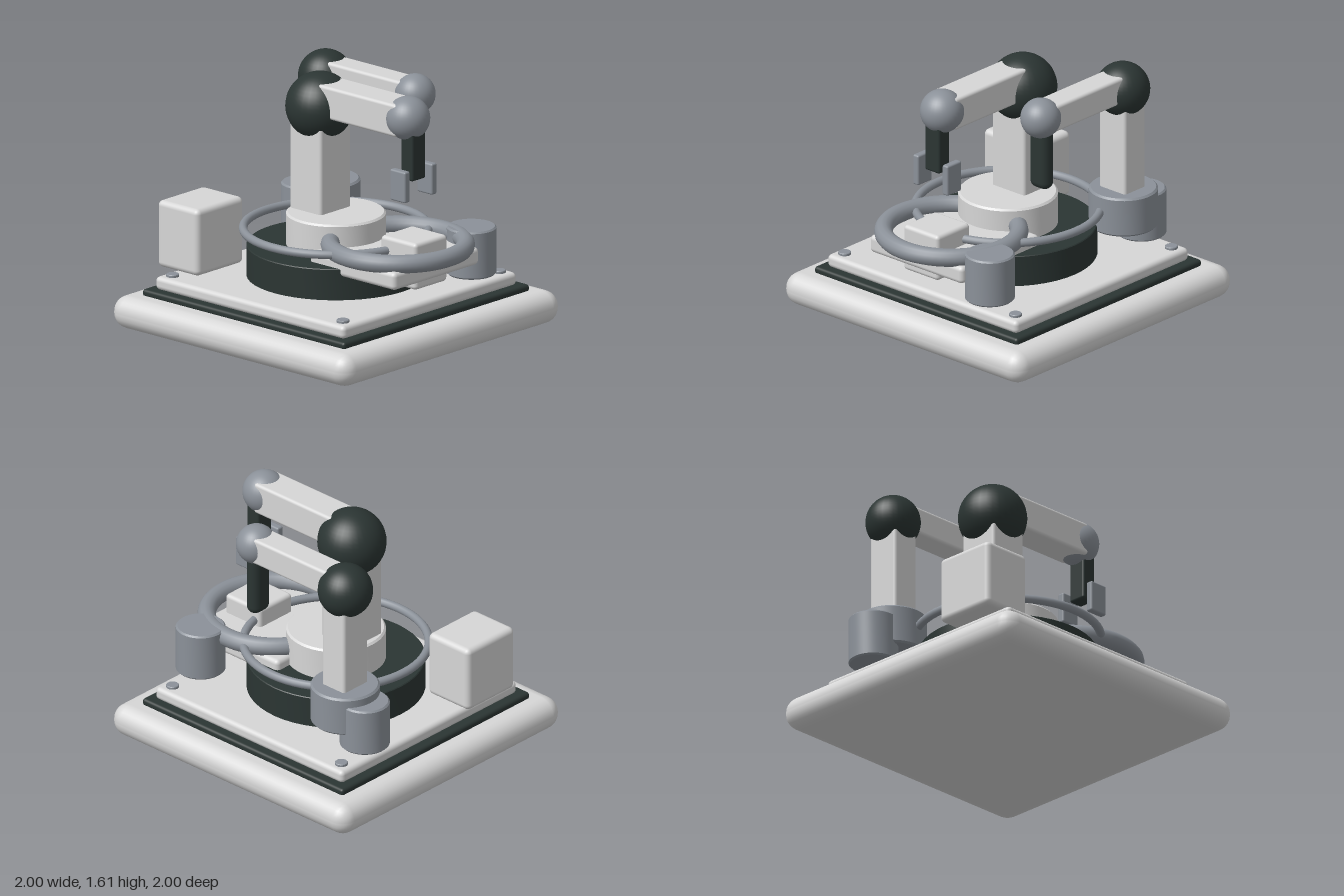
import * as THREE from 'three';
import { RoundedBoxGeometry } from 'three/addons/geometries/RoundedBoxGeometry.js';
import { toCreasedNormals } from 'three/addons/utils/BufferGeometryUtils.js';

export function createModel() {
  const model = new THREE.Group();
  model.name = 'robotArmStation';

  const material = (name, color) => {
    const m = new THREE.MeshStandardMaterial({ color });
    m.name = name;
    return m;
  };
  const light = material('lightShell', 0xd6d6d6);
  const dark = material('darkRubber', 0x2b3533);
  const steel = material('steelGrey', 0x8b9199);

  const add = (name, geometry, mat, x, y, z) => {
    const mesh = new THREE.Mesh(geometry, mat);
    mesh.name = name;
    mesh.position.set(x, y, z);
    model.add(mesh);
    return mesh;
  };

  // Rounded box given by its extents on each axis
  const box = (name, mat, [x0, x1], [y0, y1], [z0, z1], radius = 0.02) =>
    add(name, new RoundedBoxGeometry(x1 - x0, y1 - y0, z1 - z0, 3, radius), mat,
      (x0 + x1) / 2, (y0 + y1) / 2, (z0 + z1) / 2);

  // Upright cylinder with slightly bevelled rims
  const drum = (name, mat, r, y0, y1, x, z, bevel = 0.01) => {
    const h = y1 - y0;
    const profile = [[0, 0], [r - bevel, 0], [r, bevel], [r, h - bevel], [r - bevel, h], [0, h]]
      .map(([px, py]) => new THREE.Vector2(px, py));
    return add(name, toCreasedNormals(new THREE.LatheGeometry(profile, 48), 0.5), mat, x, y0, z);
  };

  const ball = (name, mat, r, x, y, z) =>
    add(name, new THREE.SphereGeometry(r, 32, 24), mat, x, y, z);

  const ring = (name, radius, tube, x, y, z) => {
    add(name, new THREE.TorusGeometry(radius, tube, 14, 64), steel, x, y, z).rotation.x = Math.PI / 2;
  };

  // Stepped base
  box('base', light, [-1, 1], [0, 0.21], [-1, 1], 0.1);
  box('gasket', dark, [-0.85, 0.85], [0.2, 0.25], [-0.85, 0.85], 0.02);
  box('deck', light, [-0.795, 0.795], [0.245, 0.33], [-0.795, 0.795], 0.03);
  for (const x of [-0.715, 0.715])
    for (const z of [-0.715, 0.715]) drum('bolt', steel, 0.04, 0.32, 0.347, x, z, 0.004);

  // Turntable, pedestal and guide rings
  drum('turntable', dark, 0.555, 0.32, 0.53, 0, 0, 0.005);
  drum('pedestal', light, 0.31, 0.52, 0.74, 0, 0, 0.012);
  ring('turntableRing', 0.575, 0.027, 0, 0.63, 0);
  ring('workRing', 0.42, 0.058, 0.52, 0.63, 0);

  // Work table with its block
  box('workTable', light, [0.13, 0.85], [0.48, 0.595], [-0.39, 0.39], 0.03);
  box('workBlock', light, [0.505, 0.805], [0.42, 0.72], [-0.147, 0.147], 0.025);

  // Main arm
  box('mainColumn', light, [-0.265, 0], [0.7, 1.4], [-0.138, 0.138], 0.02);
  ball('mainShoulder', dark, 0.215, -0.135, 1.395, 0);
  box('mainUpperArm', light, [-0.1, 0.6], [1.358, 1.568], [-0.108, 0.108], 0.02);
  ball('mainElbow', steel, 0.138, 0.605, 1.466, 0);
  box('mainForearm', dark, [0.6, 0.7], [1.083, 1.46], [-0.062, 0.062], 0.015);
  for (const s of [-1, 1]) {
    const z = s * 0.123;
    box('gripperPad', steel, [0.585, 0.715], [0.965, 1.165], [z - 0.024, z + 0.024], 0.012);
  }

  // Rear arm
  drum('rearPedestal', steel, 0.215, 0.485, 0.74, -0.53, -0.483, 0.012);
  box('rearColumn', light, [-0.62, -0.43], [0.7, 1.4], [-0.588, -0.368], 0.02);
  ball('rearShoulder', dark, 0.172, -0.527, 1.395, -0.478);
  box('rearUpperArm', light, [-0.5, 0.21], [1.345, 1.52], [-0.566, -0.392], 0.02);
  ball('rearElbow', steel, 0.127, 0.225, 1.436, -0.479);
  box('rearForearm', dark, [0.163, 0.265], [0.965, 1.43], [-0.553, -0.403], 0.048);

  // Canisters at the back and control box at the front
  for (const s of [-1, 1]) drum('canister', steel, 0.155, 0.373, 0.68, s * 0.695, -0.482, 0.01);
  box('controlBox', light, [-0.872, -0.525], [0.355, 0.785], [0.265, 0.692], 0.035);

  return model;
}
